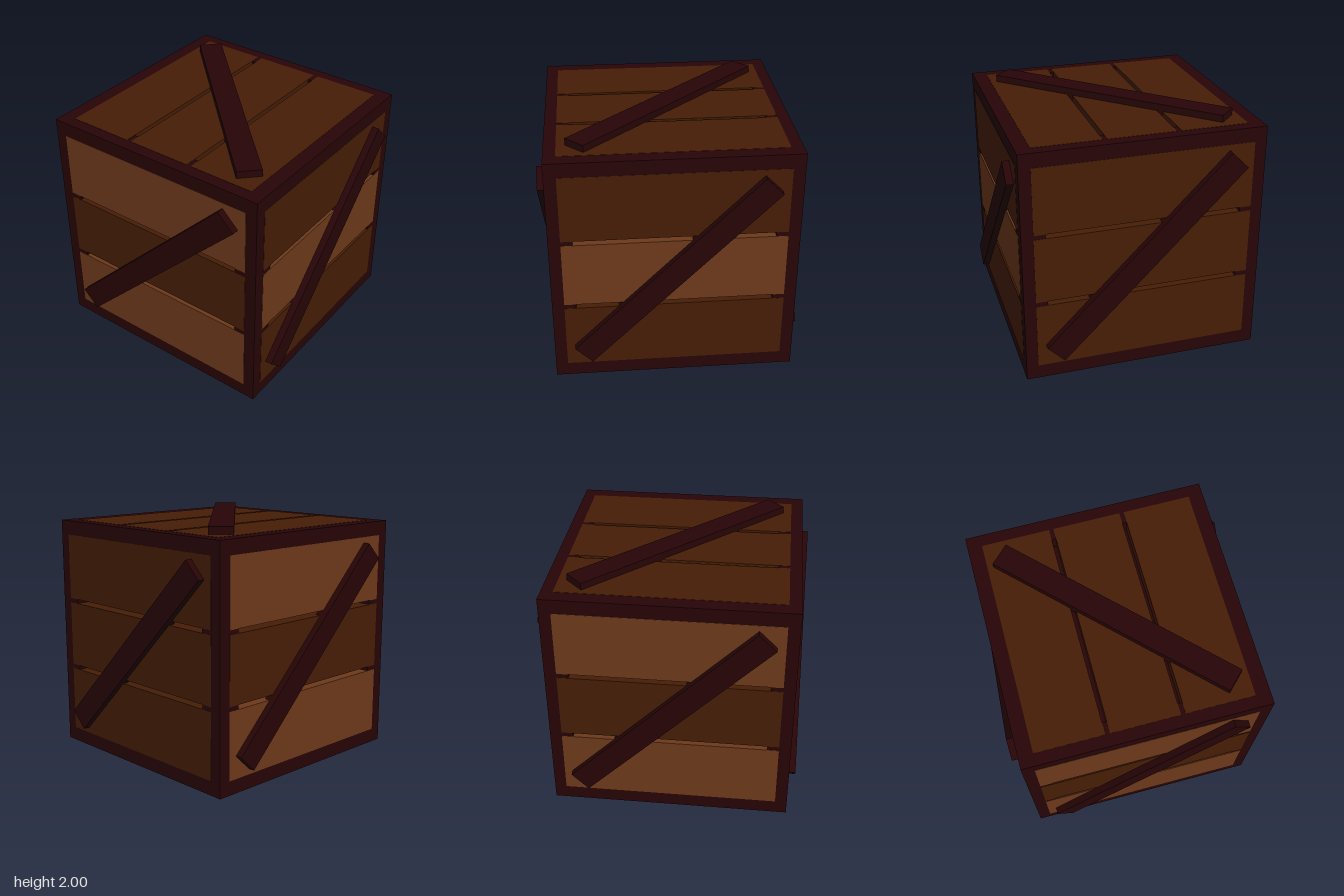
import * as THREE from 'three';

const frameWood = new THREE.MeshStandardMaterial({ color: 0x270406 });
frameWood.name = 'dark frame wood';
const brownWood = new THREE.MeshStandardMaterial({ color: 0x461d05 });
brownWood.name = 'brown plank wood';
const paleWood = new THREE.MeshStandardMaterial({ color: 0x6d391b });
paleWood.name = 'pale plank wood';

const HALF = 0.943;          // half the width of the frame
const BEAM = 0.183;          // beam thickness
const SURFACE = HALF + 0.002; // planks lie almost flush with the frame

function addBox(parent, name, size, pos, material) {
  const mesh = new THREE.Mesh(new THREE.BoxGeometry(...size), material);
  mesh.name = name;
  mesh.position.set(...pos);
  parent.add(mesh);
  return mesh;
}

// One crate side facing +z: three planks and a rising diagonal brace.
function makeSide(name, planks) {
  const side = new THREE.Group();
  side.name = name;
  const gap = 0.035, depth = 0.125;
  const height = (1.66 - 2 * gap) / 3;
  planks.forEach((material, i) => {
    addBox(side, 'plank', [1.7, height, depth],
      [0, (i - 1) * (height + gap), SURFACE - depth / 2], material);
  });
  const brace = addBox(side, 'diagonalBrace', [2.03, 0.188, 0.1], [0, 0, 0.95], frameWood);
  brace.rotation.z = Math.PI / 4;
  return side;
}

export function createModel() {
  const model = new THREE.Group();
  model.name = 'woodenCrate';
  const crate = new THREE.Group();
  crate.name = 'crate';
  crate.position.y = 1;
  model.add(crate);

  // Dark backing seen through the gaps between planks
  addBox(crate, 'innerCore', [1.65, 1.65, 1.65], [0, 0, 0], frameWood);

  // Square frame beams along the twelve edges
  const c = HALF - BEAM / 2, inner = 2 * (HALF - BEAM);
  for (const a of [-c, c]) {
    for (const b of [-c, c]) {
      addBox(crate, 'cornerPost', [BEAM, 2 * HALF, BEAM], [a, 0, b], frameWood);
      addBox(crate, 'crossRail', [inner, BEAM, BEAM], [0, a, b], frameWood);
      addBox(crate, 'sideRail', [BEAM, BEAM, inner], [a, b, 0], frameWood);
    }
  }

  // Six sides; plank colours run from bottom to top
  const D = brownWood, P = paleWood, q = Math.PI / 2;
  const sides = [
    ['front', [D, P, D], 0, 0],
    ['rightSide', [D, D, D], 0, q],
    ['back', [P, D, P], 0, 2 * q],
    ['leftSide', [P, D, P], 0, -q],
    ['top', [D, D, D], -q, 0],
    ['bottom', [D, P, D], q, 0],
  ];
  for (const [name, planks, rx, ry] of sides) {
    const side = makeSide(name, planks);
    side.rotation.set(rx, ry, 0);
    crate.add(side);
  }
  return model;
}
